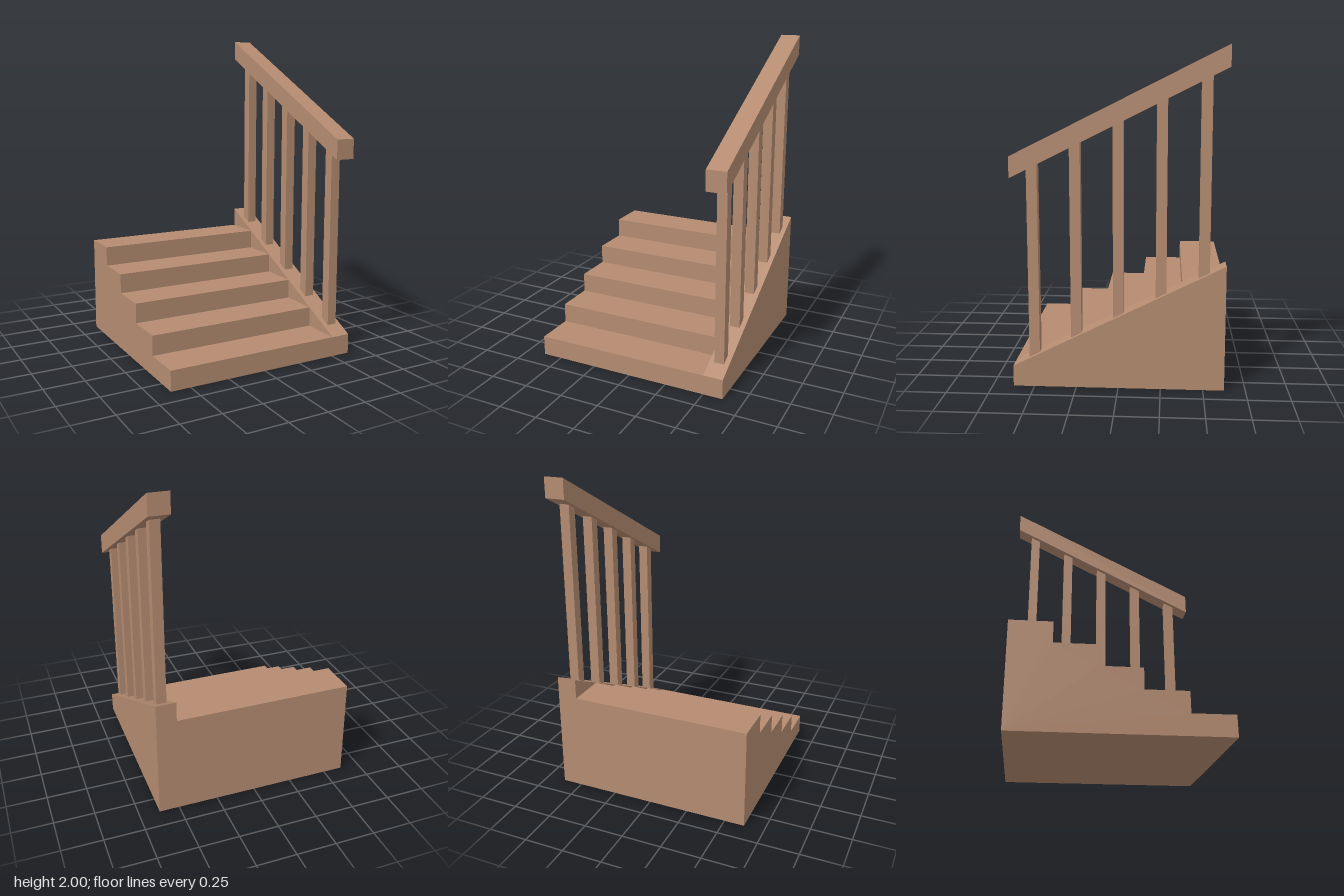
import * as THREE from 'three';

const HALF = 0.625;   // half the footprint
const STEPS = 5;
const RUN = 0.25;
const RISE = 0.125;
const RAIL_LIFT = 1.125; // stringer top to handrail underside

// Height of the sloping stringer top; u runs from front to back (u = -z)
const slope = (u) => 0.4375 + 0.5 * u;

export function createModel() {
  const group = new THREE.Group();
  group.name = 'staircase';
  const wood = new THREE.MeshStandardMaterial({ color: 0xb48b70, flatShading: true });
  wood.name = 'brown wood';

  // Extrude a side profile of [u, y] points across x0..x1
  function addProfile(name, points, x0, x1) {
    const shape = new THREE.Shape(points.map(([u, y]) => new THREE.Vector2(u, y)));
    const geometry = new THREE.ExtrudeGeometry(shape, { depth: x1 - x0, bevelEnabled: false });
    geometry.rotateY(Math.PI / 2);
    geometry.translate(x0, 0, 0);
    const mesh = new THREE.Mesh(geometry, wood);
    mesh.name = name;
    group.add(mesh);
  }

  // Four-cornered profile whose ends follow the slope
  const slopedBand = (u0, u1, low, high) => [
    [u0, slope(u0) + low], [u1, slope(u1) + low],
    [u1, slope(u1) + high], [u0, slope(u0) + high],
  ];

  // Solid flight of steps
  const flight = [[HALF, 0], [HALF, STEPS * RISE]];
  for (let i = STEPS - 1; i >= 0; i--) {
    const u = -HALF + i * RUN;
    flight.push([u, (i + 1) * RISE], [u, i * RISE]);
  }
  addProfile('steps', flight, -HALF, 0.5);

  // Side wall that carries the railing
  addProfile('stringer', [[-HALF, 0], [HALF, 0], [HALF, slope(HALF)], [-HALF, slope(-HALF)]], 0.5, HALF);

  // Balusters, one per step
  for (let i = 0; i < STEPS; i++) {
    const u = -0.5 + i * RUN;
    addProfile(`baluster${i + 1}`, slopedBand(u - 0.03125, u + 0.03125, 0, RAIL_LIFT), 0.53125, 0.59375);
  }

  // Handrail
  addProfile('handrail', slopedBand(-HALF, HALF, RAIL_LIFT, RAIL_LIFT + 0.125), 0.5, HALF);

  return group;
}
